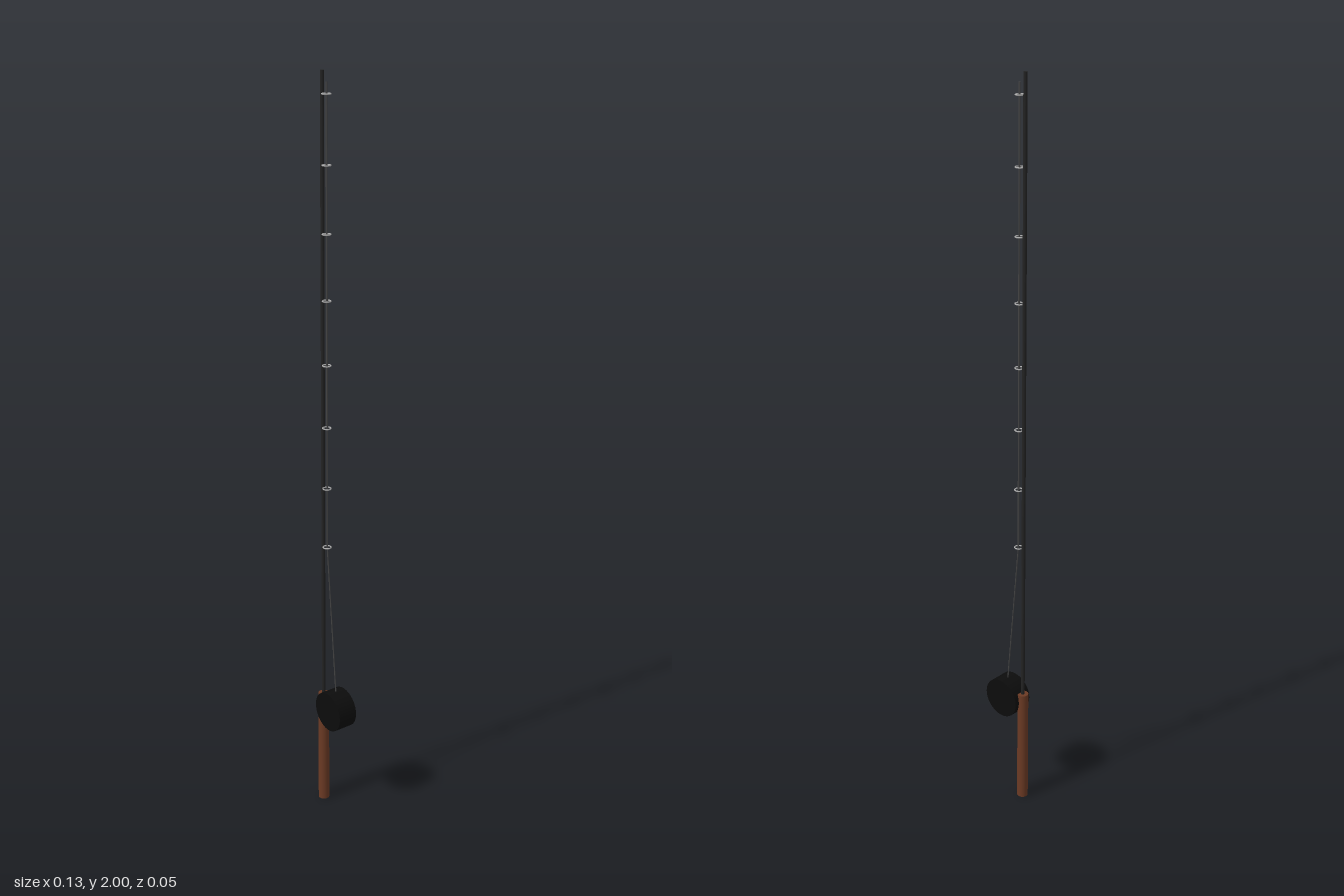
import * as THREE from 'three';

export function createModel() {
  const model = new THREE.Group();
  const mat = (color) => new THREE.MeshStandardMaterial({ color });
  const wood = mat(0x6b3a24), carbon = mat(0x222222), black = mat(0x0c0c0c);
  const metal = mat(0xaaaaaa), thread = mat(0x444444);
  const rodX = -0.048, guideX = -0.031;

  const add = (name, geometry, material, x = 0, y = 0, z = 0) => {
    const mesh = new THREE.Mesh(geometry, material);
    mesh.name = name;
    mesh.position.set(x, y, z);
    model.add(mesh);
    return mesh;
  };

  // Wooden grip and the long thin rod rising out of it
  add('handle', new THREE.CylinderGeometry(0.015, 0.015, 0.335, 32), wood, rodX, 0.1675);
  add('rod', new THREE.CylinderGeometry(0.005, 0.005, 1.68, 24), carbon, rodX, 1.16);

  // Reel drum lying across the rod
  const reel = add('reel', new THREE.CylinderGeometry(0.055, 0.055, 0.055, 32), black, 0.008, 0.309);
  reel.rotation.x = Math.PI / 2;

  // Eight line guides, evenly spaced along the rod
  const ring = new THREE.TorusGeometry(0.0105, 0.0018, 10, 32);
  for (let i = 0; i < 8; i++) {
    const guide = add('lineGuide', ring, metal, guideX, 0.78 + i / 6);
    guide.rotation.x = Math.PI / 2;
  }

  // Fishing line: slanting up from the reel, then straight through the guides
  const reelEnd = new THREE.Vector3(0.009, 0.35, 0);
  const firstGuide = new THREE.Vector3(-0.03, 0.78, 0);
  const tip = new THREE.Vector3(-0.03, 1.975, 0);
  [[reelEnd, firstGuide, 0.0017], [firstGuide, tip, 0.0022]].forEach(([a, b, r]) => {
    const line = add('fishingLine', new THREE.CylinderGeometry(r, r, a.distanceTo(b), 10), thread);
    line.position.copy(a).lerp(b, 0.5);
    line.quaternion.setFromUnitVectors(new THREE.Vector3(0, 1, 0), b.clone().sub(a).normalize());
  });

  return model;
}
